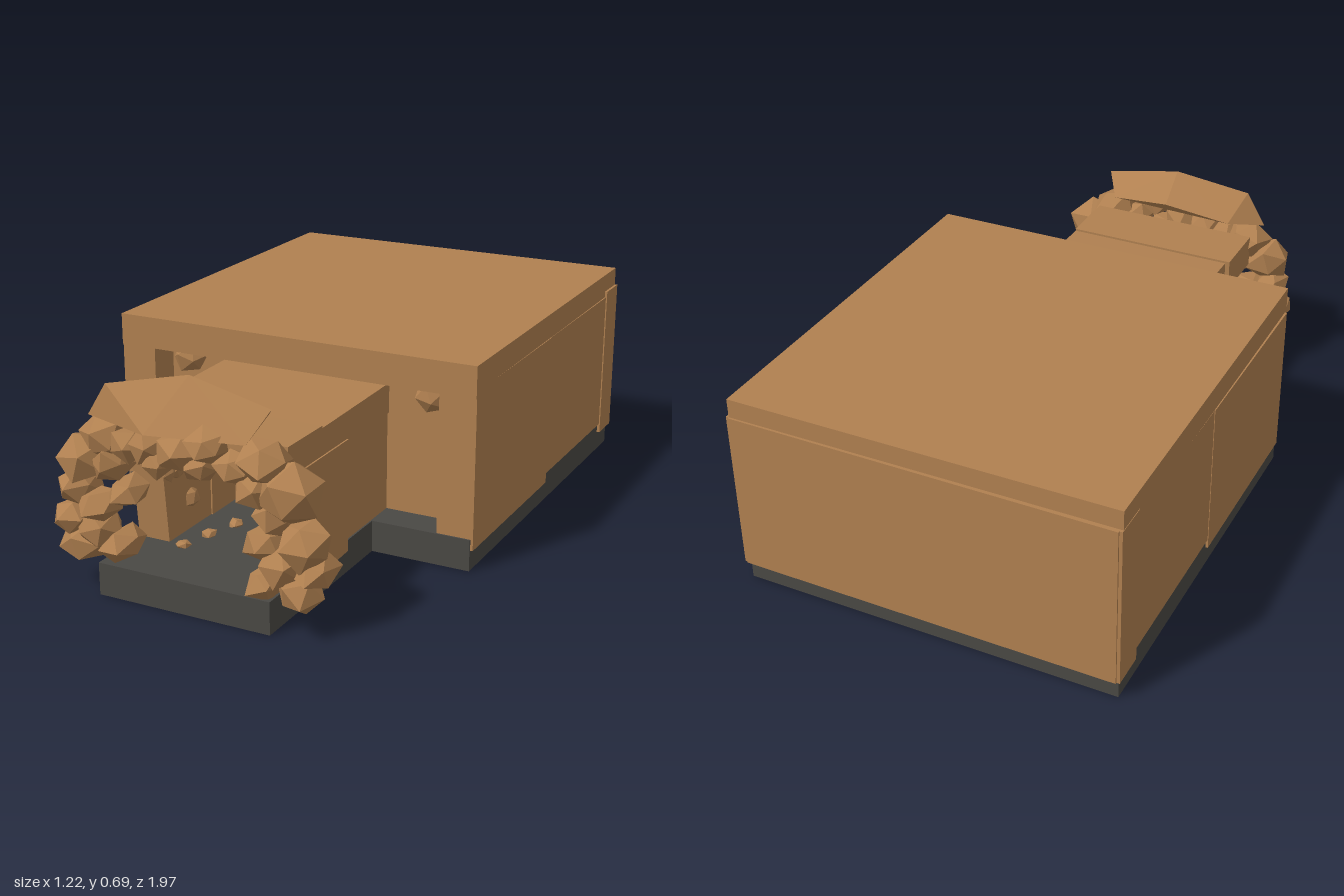
import * as THREE from 'three';
import { ConvexGeometry } from 'three/addons/geometries/ConvexGeometry.js';

export function createModel() {
  const model = new THREE.Group();
  model.name = 'caveEntrance';
  const earth = new THREE.MeshStandardMaterial({ color: 0xb08050 });
  earth.name = 'brown earth';
  const stone = new THREE.MeshStandardMaterial({ color: 0x4a4844 });
  stone.name = 'dark grey stone';

  let seed = 7;
  const rand = () => (seed = (seed * 16807) % 2147483647) / 2147483647;

  function add(name, geo, mat = earth) {
    const mesh = new THREE.Mesh(geo, mat);
    mesh.name = name;
    model.add(mesh);
    return mesh;
  }
  // Box given by its limits on each axis
  function slab(name, x0, x1, y0, y1, z0, z1, mat) {
    const mesh = add(name, new THREE.BoxGeometry(x1 - x0, y1 - y0, z1 - z0), mat);
    mesh.position.set((x0 + x1) / 2, (y0 + y1) / 2, (z0 + z1) / 2);
    return mesh;
  }
  // Irregular faceted rock: hull of a jittered icosahedron
  const t = (1 + Math.sqrt(5)) / 2;
  const corners = [];
  for (const a of [-1, 1]) for (const b of [-t, t]) corners.push([0, a, b], [a, b, 0], [b, 0, a]);
  function rock(name, x, y, z, rx, ry, rz) {
    const turn = new THREE.Euler(rand() * 6, rand() * 6, rand() * 6);
    const pts = corners.map(c => new THREE.Vector3(...c).normalize()
      .multiplyScalar(0.82 + rand() * 0.36).applyEuler(turn)
      .multiply(new THREE.Vector3(rx, ry, rz)));
    add(name, new ConvexGeometry(pts)).position.set(x, y, z);
  }

  // T-shaped floor
  slab('chamberFloor', -0.6, 0.6, 0, 0.1, -0.975, 0.28, stone);
  slab('tunnelFloor', -0.28, 0.28, 0, 0.1, 0.28, 0.91, stone);

  // Chamber shell
  const roof = slab('chamberRoof', -0.605, 0.605, 0.54, 0.64, -0.985, 0.285);
  roof.rotation.y = 0.006;
  slab('backWall', -0.6, 0.6, 0.065, 0.58, -0.995, -0.88);
  for (const s of [-1, 1]) {
    const side = s < 0 ? 'right' : 'left';
    const wall = (part, a, b, ...rest) =>
      slab(side + part, Math.min(s * a, s * b), Math.max(s * a, s * b), ...rest);
    wall('FrontSideWall', 0.49, 0.608, 0.065, 0.56, -0.34, 0.275);
    wall('RearSideWall', 0.49, 0.606, 0.095, 0.56, -0.9, -0.34);
    wall('RearCorner', 0.49, 0.61, 0.065, 0.58, -0.99, -0.88);
    wall('RecessedFrontWall', 0.18, 0.5, 0.09, 0.55, 0.06, 0.17);

    // Tunnel walls, slanted at the mouth
    wall('TunnelInnerWall', 0.175, 0.275, 0.095, 0.42, 0.16, 0.46);
    const profile = new THREE.Shape([[0.45, 0.07], [0.69, 0.06], [0.725, 0.42], [0.45, 0.42]]
      .map(p => new THREE.Vector2(...p)));
    const outer = new THREE.ExtrudeGeometry(profile, { depth: 0.105, bevelEnabled: false });
    outer.rotateY(-Math.PI / 2); // profile runs along z, thickness towards -x
    add(side + 'TunnelOuterWall', outer).position.x = s < 0 ? -0.18 : 0.285;

    // Small bumps along the inside of the tunnel
    for (let i = 0; i < 12; i++)
      rock(side + 'TunnelBump', s * 0.18, 0.13 + rand() * 0.25, 0.25 + i * 0.04, 0.025, 0.035, 0.03);
  }
  slab('recessLintel', -0.18, 0.18, 0.4, 0.55, 0.06, 0.17);

  // Tunnel roof slabs
  slab('rearTunnelRoof', -0.28, 0.28, 0.41, 0.505, 0.16, 0.62).rotation.x = 0.015;
  slab('frontTunnelRoof', -0.295, 0.28, 0.405, 0.51, 0.6, 0.8).rotation.x = -0.01;

  // Keystone over the mouth
  const keystone = [
    [0, 0.685, 0.84], [-0.25, 0.635, 0.88], [0.26, 0.63, 0.85], [0.22, 0.545, 0.92],
    [-0.32, 0.53, 0.87], [-0.08, 0.535, 0.955], [-0.22, 0.56, 0.77],
    [0, 0.6, 0.74], [0.2, 0.58, 0.755],
  ];
  add('keystone', new ConvexGeometry(keystone.map(p => new THREE.Vector3(...p))));

  // Rocks piled around the mouth: x, y, radius
  const rightPile = [
    [-0.27, 0.47, 0.085], [-0.34, 0.4, 0.085], [-0.25, 0.4, 0.06], [-0.2, 0.32, 0.05],
    [-0.36, 0.31, 0.06], [-0.28, 0.27, 0.065], [-0.38, 0.22, 0.06], [-0.3, 0.19, 0.07],
    [-0.35, 0.14, 0.08], [-0.23, 0.15, 0.055],
  ];
  const leftPile = [
    [0.25, 0.49, 0.075], [0.32, 0.41, 0.095], [0.22, 0.4, 0.065], [0.27, 0.33, 0.07],
    [0.37, 0.27, 0.08], [0.25, 0.25, 0.06], [0.31, 0.2, 0.07], [0.25, 0.14, 0.055],
    [0.35, 0.13, 0.07], [0.39, 0.19, 0.055],
  ];
  const archRocks = [
    [-0.18, 0.47, 0.06], [-0.1, 0.49, 0.06], [0, 0.48, 0.07], [0.1, 0.52, 0.06],
    [0.06, 0.45, 0.055], [0.17, 0.46, 0.06], [-0.07, 0.45, 0.055],
  ];
  for (const [x, y, r] of rightPile) rock('rightPileRock', x, y, 0.85 + rand() * 0.03, r, r * 0.9, 0.085);
  for (const [x, y, r] of leftPile) rock('leftPileRock', x, y, 0.84 + rand() * 0.03, r, r * 0.95, 0.085);
  for (const [x, y, r] of archRocks) rock('archRock', x, y, 0.87 + rand() * 0.05, r, r * 0.9, 0.065);

  // Rocks hanging in the front recesses, floor pebbles and the chamber boulder
  for (const x of [-0.41, 0.43]) rock('recessRock', x, 0.5, 0.19, 0.055, 0.05, 0.05);
  for (let i = 0; i < 4; i++)
    rock('floorPebble', -0.13 + i * 0.03, 0.105, 0.7 - i * 0.1, 0.025, 0.015, 0.025);
  rock('chamberBoulder', 0, 0.25, -0.84, 0.16, 0.11, 0.12);

  return model;
}
